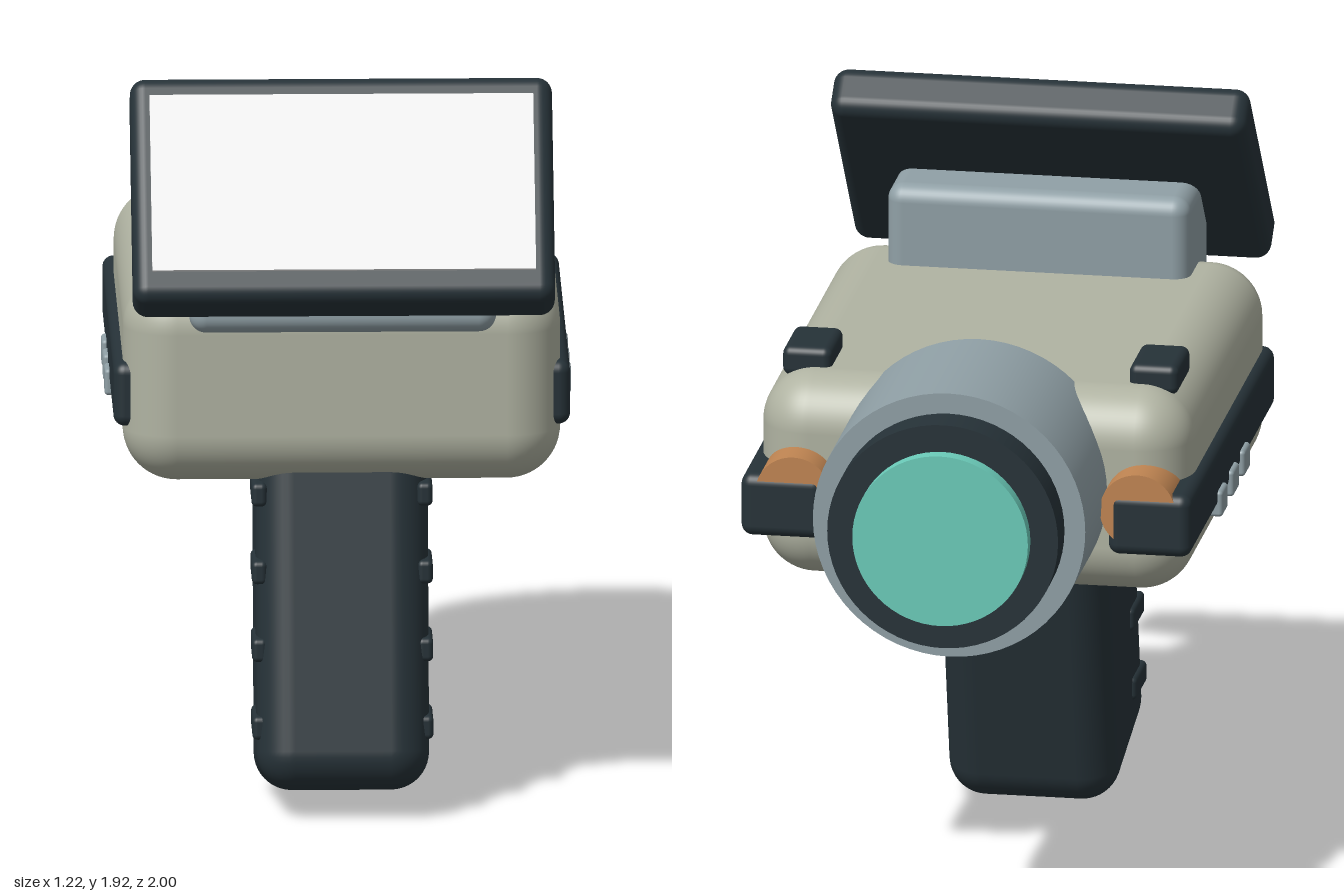
import * as THREE from 'three';
import { RoundedBoxGeometry } from 'three/addons/geometries/RoundedBoxGeometry.js';

const material = (name, color) => {
  const m = new THREE.MeshStandardMaterial({ color });
  m.name = name;
  return m;
};

export function createModel() {
  const model = new THREE.Group();
  model.name = 'handheldScanner';

  const shell = material('warm grey shell', 0xb0b3a2);
  const dark = material('dark slate', 0x263238);
  const steel = material('blue grey', 0x90a0a6);
  const copper = material('copper', 0xc08552);
  const glass = material('teal glass', 0x6bcbb9);
  const display = material('pale display', 0xeaeaea);

  const add = (name, geometry, mat, x, y, z, parent = model) => {
    const mesh = new THREE.Mesh(geometry, mat);
    mesh.name = name;
    mesh.position.set(x, y, z);
    parent.add(mesh);
    return mesh;
  };
  const rounded = (w, h, d, r, segments = 5) => new RoundedBoxGeometry(w, h, d, segments, r);
  // Cylinder along z between two depths
  const barrel = (name, radius, z0, z1, mat, x = 0, y = 1.163) => {
    const geometry = new THREE.CylinderGeometry(radius, radius, z1 - z0, 64).rotateX(Math.PI / 2);
    return add(name, geometry, mat, x, y, (z0 + z1) / 2);
  };

  // Main housing
  add('body', rounded(1.14, 0.55, 1.31, 0.14, 8), shell, 0, 1.145, 0.135);

  // Lens assembly pointing backwards
  barrel('lensBarrel', 0.36, -0.86, -0.39, steel);
  barrel('lensRing', 0.305, -0.96, -0.85, dark);
  barrel('lensGlass', 0.232, -1, -0.95, glass);

  // Tilted pistol grip
  const grip = new THREE.Group();
  grip.name = 'grip';
  grip.position.set(0, 0.5, 0.56);
  grip.rotation.x = -0.22;
  model.add(grip);
  add('handle', rounded(0.45, 0.973, 0.527, 0.1, 6), dark, 0, 0.0135, 0, grip);

  // Display bracket and tilted display
  add('displayBracket', rounded(0.8, 0.345, 0.325, 0.045), steel, 0, 1.4625, 0.6725);
  const screen = new THREE.Group();
  screen.name = 'displayUnit';
  screen.position.set(0, 1.64, 0.755);
  screen.rotation.x = -0.698;
  model.add(screen);
  add('displayFrame', rounded(1.1, 0.655, 0.14, 0.04), dark, 0, 0, 0, screen);
  add('displayPanel', new THREE.BoxGeometry(1, 0.515, 0.009), display, 0, 0.006, 0.0735, screen);

  // Mirrored side details
  for (const [label, s] of [['left', 1], ['right', -1]]) {
    add(`${label}Rail`, rounded(0.22, 0.17, 1.33, 0.03), dark, s * 0.485, 1.105, 0.055);
    barrel(`${label}Emitter`, 0.1, -0.607, -0.3, copper, s * 0.455, 1.143);
    add(`${label}TopButton`, rounded(0.13, 0.08, 0.2, 0.022), dark, s * 0.458, 1.43, -0.28);

    // Small keys along the rail
    for (const z of [0.21, 0.035, -0.14]) {
      add(`${label}Key`, rounded(0.06, 0.07, 0.09, 0.01, 3), steel, s * 0.578, 1.037, z);
    }
    // Grip ribs following the lean of the handle
    for (let i = 0; i < 4; i++) {
      add(`${label}GripRib`, rounded(0.04, 0.062, 0.17, 0.014, 3), dark,
        s * 0.216, 0.84 - i * 0.2, 0.65 + i * 0.034);
    }
  }
  return model;
}
